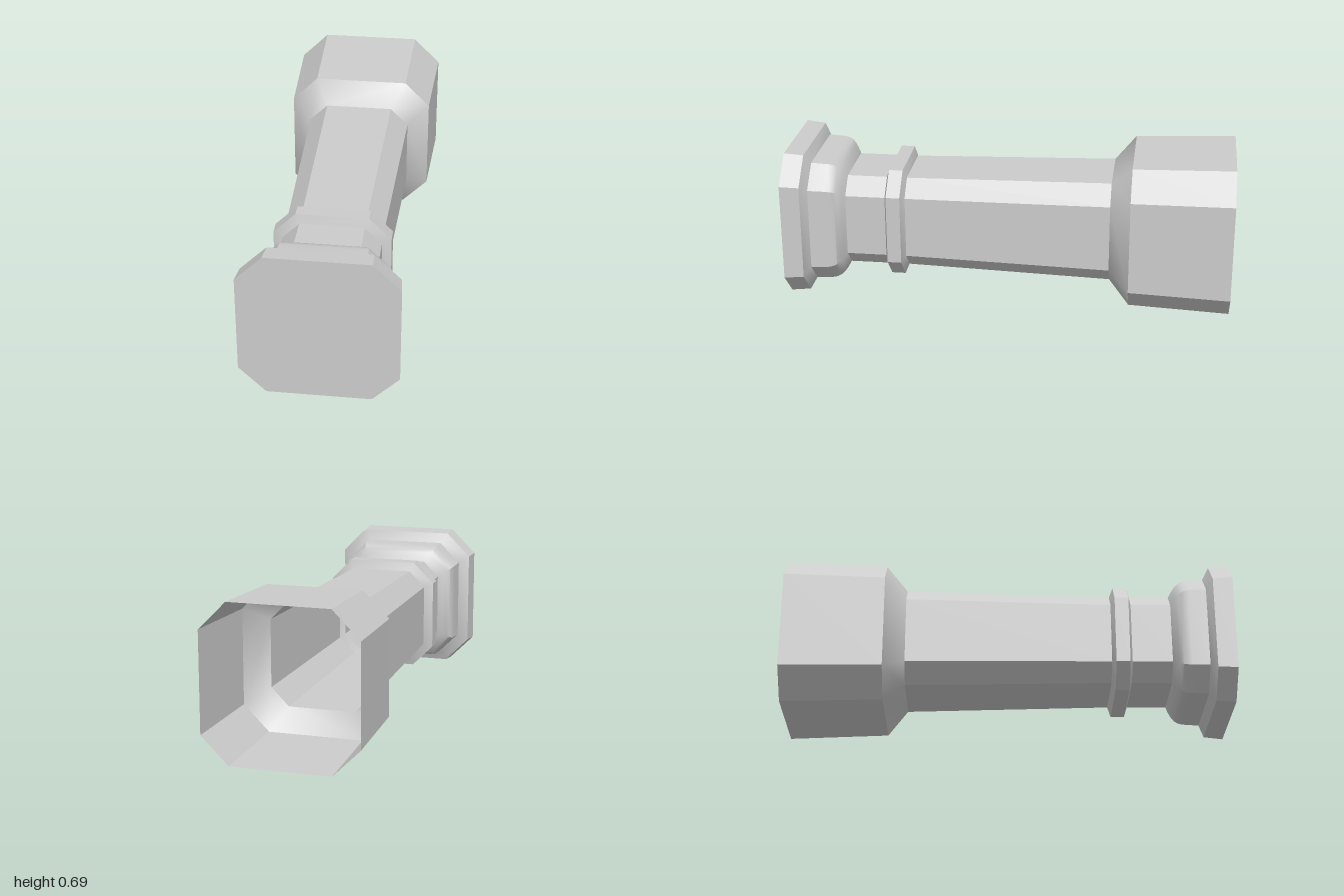
import * as THREE from 'three';
import { toCreasedNormals } from 'three/addons/utils/BufferGeometryUtils.js';

const CENTRE_Y = 0.343;

// Corners of a chamfered square, counter-clockwise: h = half width, c = half length of a flat side
const corners = (h, c) => [[h, -c], [h, c], [c, h], [-c, h], [-h, c], [-h, -c], [-c, -h], [c, -h]];

// Skin chamfered-square sections [z, h, c] listed from front to back
function loft(sections) {
  const pos = [], index = [];
  for (const [z, h, c] of sections) {
    for (const [x, y] of corners(h, c)) pos.push(x, y, z);
  }
  for (let s = 0; s < sections.length - 1; s++) {
    for (let i = 0; i < 8; i++) {
      const a = s * 8 + i, b = s * 8 + (i + 1) % 8;
      index.push(a, a + 8, b, a + 8, b + 8, b);
    }
  }
  const geo = new THREE.BufferGeometry();
  geo.setAttribute('position', new THREE.Float32BufferAttribute(pos, 3));
  geo.setIndex(index);
  return toCreasedNormals(geo, 0.6);
}

export function createModel() {
  const group = new THREE.Group();
  const material = new THREE.MeshStandardMaterial({ color: 0xcccccc, side: THREE.DoubleSide });

  const add = (name, geometry) => {
    const mesh = new THREE.Mesh(geometry, material);
    mesh.name = name;
    mesh.position.y = CENTRE_Y;
    group.add(mesh);
    return mesh;
  };

  // Closed end plate
  const plate = new THREE.Shape(corners(0.337, 0.221).map(([x, y]) => new THREE.Vector2(x, y)));
  add('endPlate', new THREE.ShapeGeometry(plate)).position.z = 1;

  const parts = {
    baseRim: [[1, 0.337, 0.221], [0.913, 0.329, 0.216], [0.887, 0.283, 0.186]],
    // Rounded moulding that curves in to the neck
    baseMoulding: [
      [0.887, 0.283, 0.186], [0.81, 0.279, 0.184], [0.79, 0.275, 0.181],
      [0.772, 0.266, 0.175], [0.758, 0.253, 0.166], [0.745, 0.236, 0.155], [0.732, 0.213, 0.14],
    ],
    neck: [[0.732, 0.213, 0.14], [0.553, 0.213, 0.14]],
    collarRing: [[0.553, 0.213, 0.14], [0.54, 0.253, 0.157], [0.478, 0.253, 0.157], [0.462, 0.213, 0.14]],
    shaft: [[0.462, 0.213, 0.14], [-0.458, 0.234, 0.153]],
    shoulder: [[-0.458, 0.234, 0.153], [-0.55, 0.328, 0.213]],
    // Open-ended socket
    socket: [[-0.55, 0.328, 0.213], [-1, 0.343, 0.222]],
  };
  for (const [name, sections] of Object.entries(parts)) add(name, loft(sections));

  return group;
}
